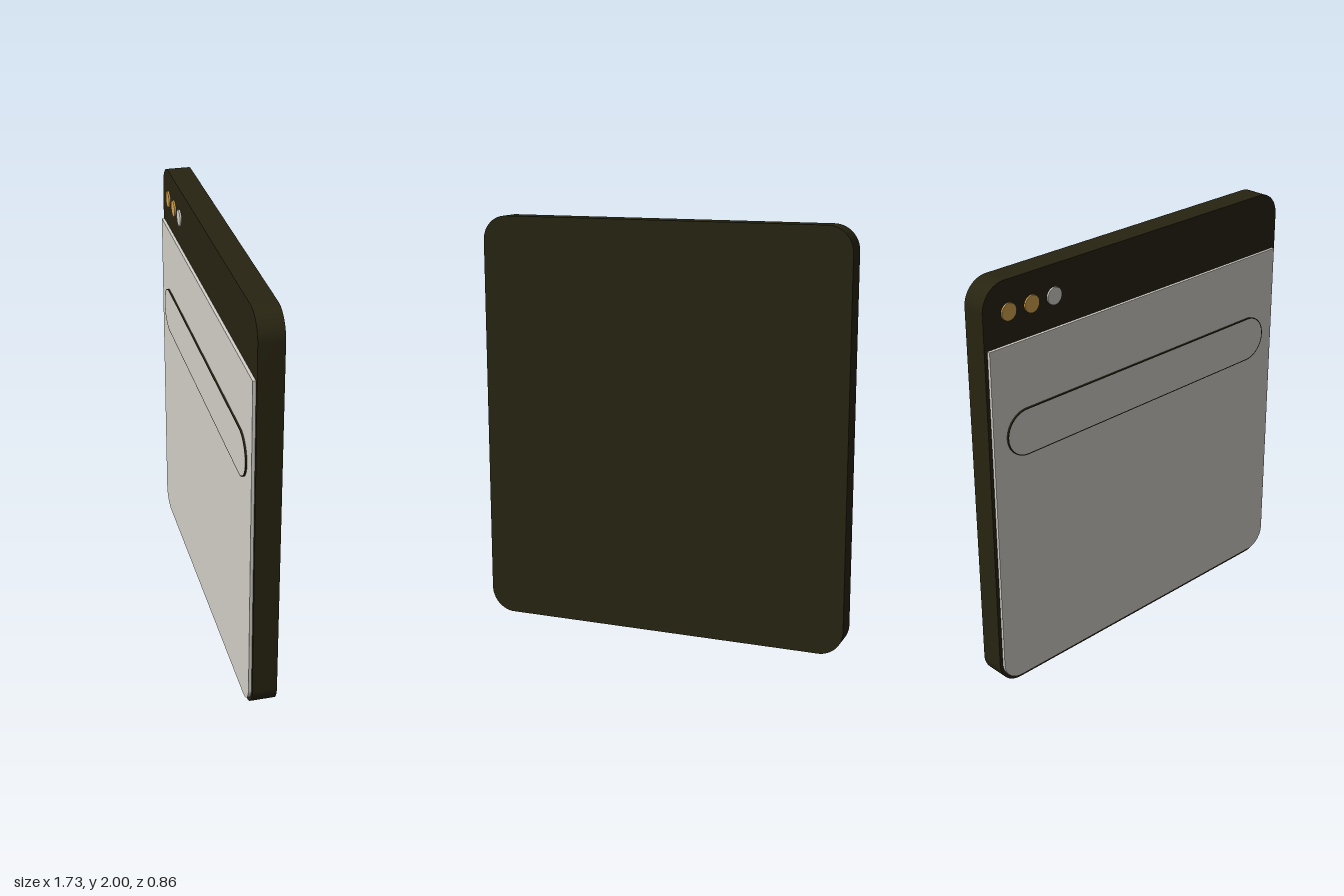
import * as THREE from 'three';
import { toCreasedNormals } from 'three/addons/utils/BufferGeometryUtils.js';

const material = (name, color) => {
  const m = new THREE.MeshStandardMaterial({ color });
  m.name = name;
  return m;
};

// Rectangle outline with separate corner radii for the top and the bottom
function roundedRect(x0, x1, y0, y1, rTop, rBottom) {
  const s = new THREE.Shape();
  s.moveTo(x0 + rBottom, y0);
  s.lineTo(x1 - rBottom, y0);
  if (rBottom) s.absarc(x1 - rBottom, y0 + rBottom, rBottom, -Math.PI / 2, 0);
  s.lineTo(x1, y1 - rTop);
  if (rTop) s.absarc(x1 - rTop, y1 - rTop, rTop, 0, Math.PI / 2);
  s.lineTo(x0 + rTop, y1);
  if (rTop) s.absarc(x0 + rTop, y1 - rTop, rTop, Math.PI / 2, Math.PI);
  s.lineTo(x0, y0 + rBottom);
  if (rBottom) s.absarc(x0 + rBottom, y0 + rBottom, rBottom, Math.PI, Math.PI * 1.5);
  return s;
}

// Flat slab between two depths
function slab(name, shape, z0, z1, mat) {
  const geo = new THREE.ExtrudeGeometry(shape, { depth: z1 - z0, bevelEnabled: false, curveSegments: 16 });
  const mesh = new THREE.Mesh(toCreasedNormals(geo, 0.6), mat);
  mesh.position.z = z0;
  mesh.name = name;
  return mesh;
}

export function createModel() {
  const dark = material('dark olive', 0x272411);
  const light = material('warm light grey', 0xd6d3cb);
  const amber = material('amber', 0xd6a54e);

  const board = new THREE.Group();
  board.name = 'windowBoard';

  // Backing board and content panel
  board.add(slab('body', roundedRect(-0.919, 0.919, 0, 2, 0.12, 0.12), -0.058, 0.058, dark));
  board.add(slab('contentPanel', roundedRect(-0.902, 0.902, 0.02, 1.71, 0, 0.1), 0.058, 0.072, light));

  // Search bar with a fine dark outline
  const outline = roundedRect(-0.829, 0.829, 1.168, 1.392, 0.112, 0.112);
  outline.holes.push(roundedRect(-0.824, 0.824, 1.173, 1.387, 0.107, 0.107));
  board.add(slab('searchBarOutline', outline, 0.072, 0.08, dark));
  board.add(slab('searchBar', roundedRect(-0.824, 0.824, 1.173, 1.387, 0.107, 0.107), 0.072, 0.08, light));

  // Three round buttons in the title bar
  [amber, amber, light].forEach((mat, i) => {
    const dot = new THREE.Mesh(new THREE.CylinderGeometry(0.04, 0.04, 0.008, 32), mat);
    dot.rotation.x = Math.PI / 2;
    dot.position.set(-0.782 + i * 0.127, 1.856, 0.062);
    dot.name = 'titleButton' + (i + 1);
    board.add(dot);
  });

  // The whole board stands turned to one side
  board.rotation.y = THREE.MathUtils.degToRad(-23.86);
  const model = new THREE.Group();
  model.name = 'model';
  model.add(board);
  return model;
}
